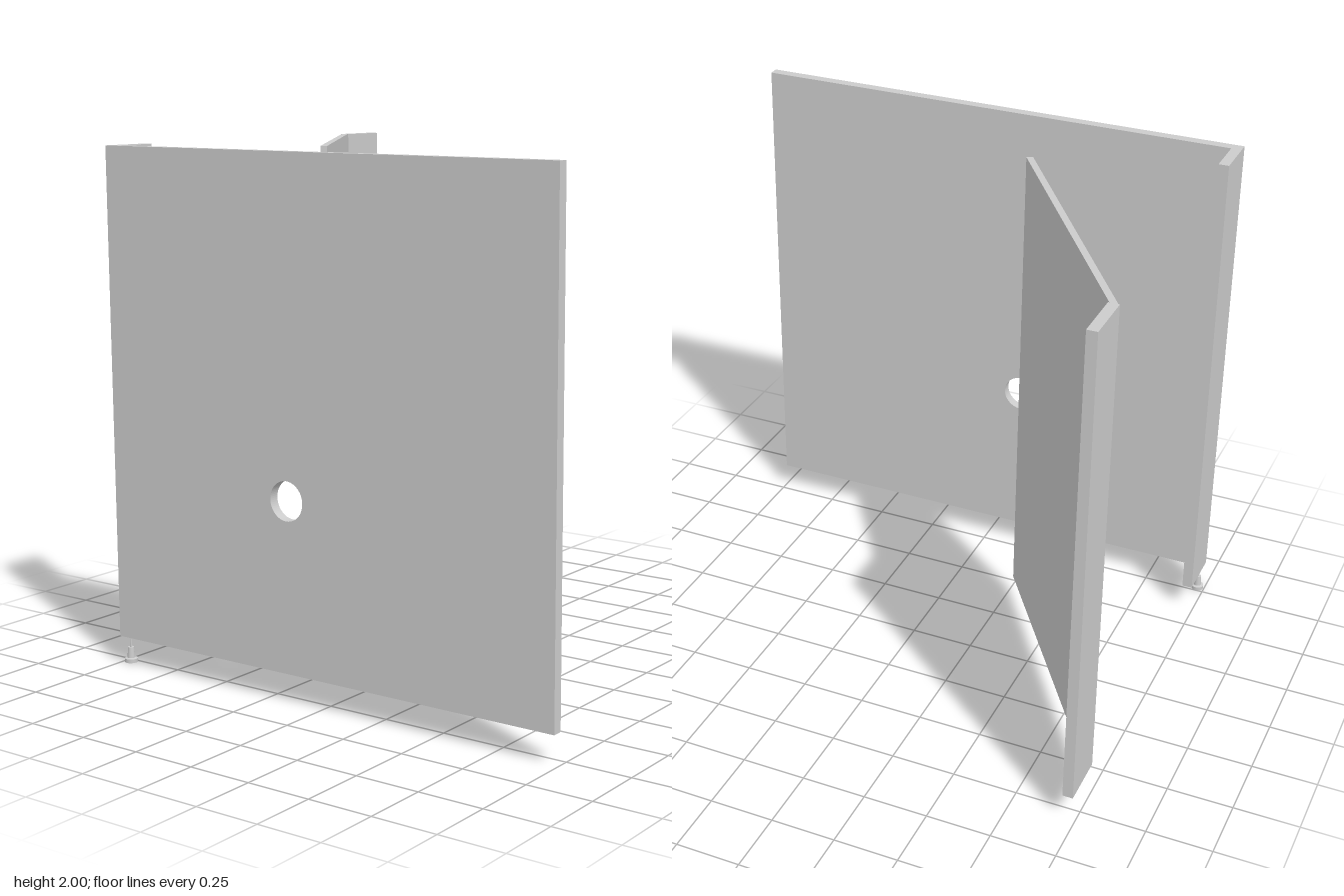
import * as THREE from 'three';

const BOTTOM = 0.11, TOP = 2, HEIGHT = TOP - BOTTOM;

export function createModel() {
  const model = new THREE.Group();
  const material = new THREE.MeshStandardMaterial({ color: 0xcccccc });

  function add(name, geometry, parent = model) {
    const mesh = new THREE.Mesh(geometry, material);
    mesh.name = name;
    parent.add(mesh);
    return mesh;
  }

  // Upright slab given by its extents in plan
  function slab(name, x0, x1, z0, z1) {
    const mesh = add(name, new THREE.BoxGeometry(x1 - x0, HEIGHT, z1 - z0));
    mesh.position.set((x0 + x1) / 2, (BOTTOM + TOP) / 2, (z0 + z1) / 2);
  }

  // Front panel with a round hole
  const outline = new THREE.Shape([
    new THREE.Vector2(-0.99, BOTTOM), new THREE.Vector2(0.99, BOTTOM),
    new THREE.Vector2(0.99, TOP), new THREE.Vector2(-0.99, TOP),
  ]);
  const hole = new THREE.Path();
  hole.absarc(-0.145, 0.755, 0.074, 0, Math.PI * 2, true);
  outline.holes.push(hole);
  add('frontPanel', new THREE.ExtrudeGeometry(outline, {
    depth: 0.04, bevelEnabled: false, curveSegments: 32,
  })).position.z = 0.772;

  // Narrow side panels either side of the doorway
  slab('frontSidePanel', -0.99, -0.95, 0.608, 0.772);
  slab('rearSidePanel', -0.99, -0.95, -0.812, -0.608);

  // Door standing ajar: local +z runs along its width, -x faces outwards
  const width = 1.21, thickness = 0.025;
  const door = new THREE.Group();
  door.name = 'door';
  door.position.set(-0.985, 0, -0.608);
  door.rotation.y = Math.atan2(0.68, 1);
  model.add(door);
  add('doorPanel', new THREE.BoxGeometry(thickness, HEIGHT, width), door)
    .position.set(thickness / 2, (BOTTOM + TOP) / 2, width / 2);

  // Knob and the lock disc below it
  function disc(name, radius, length, y) {
    const mesh = add(name, new THREE.CylinderGeometry(radius, radius, length, 32), door);
    mesh.rotation.z = Math.PI / 2;
    mesh.position.set(-length / 2, y, width - 0.15);
  }
  disc('doorKnob', 0.039, 0.044, 1.13);
  disc('lockDisc', 0.036, 0.014, 1.045);

  // Adjustable foot under the corner
  const profile = [
    [0, 0], [0.025, 0], [0.025, 0.015], [0.015, 0.018],
    [0.012, 0.06], [0.004, 0.06], [0.004, BOTTOM], [0, BOTTOM],
  ];
  // Each profile segment is turned separately to keep the edges sharp
  const foot = new THREE.Group();
  foot.name = 'foot';
  foot.position.set(-0.971, 0, 0.774);
  model.add(foot);
  for (let i = 0; i < profile.length - 1; i++) {
    const points = [profile[i], profile[i + 1]].map(([r, y]) => new THREE.Vector2(r, y));
    add('footSection', new THREE.LatheGeometry(points, 32), foot);
  }
  return model;
}
